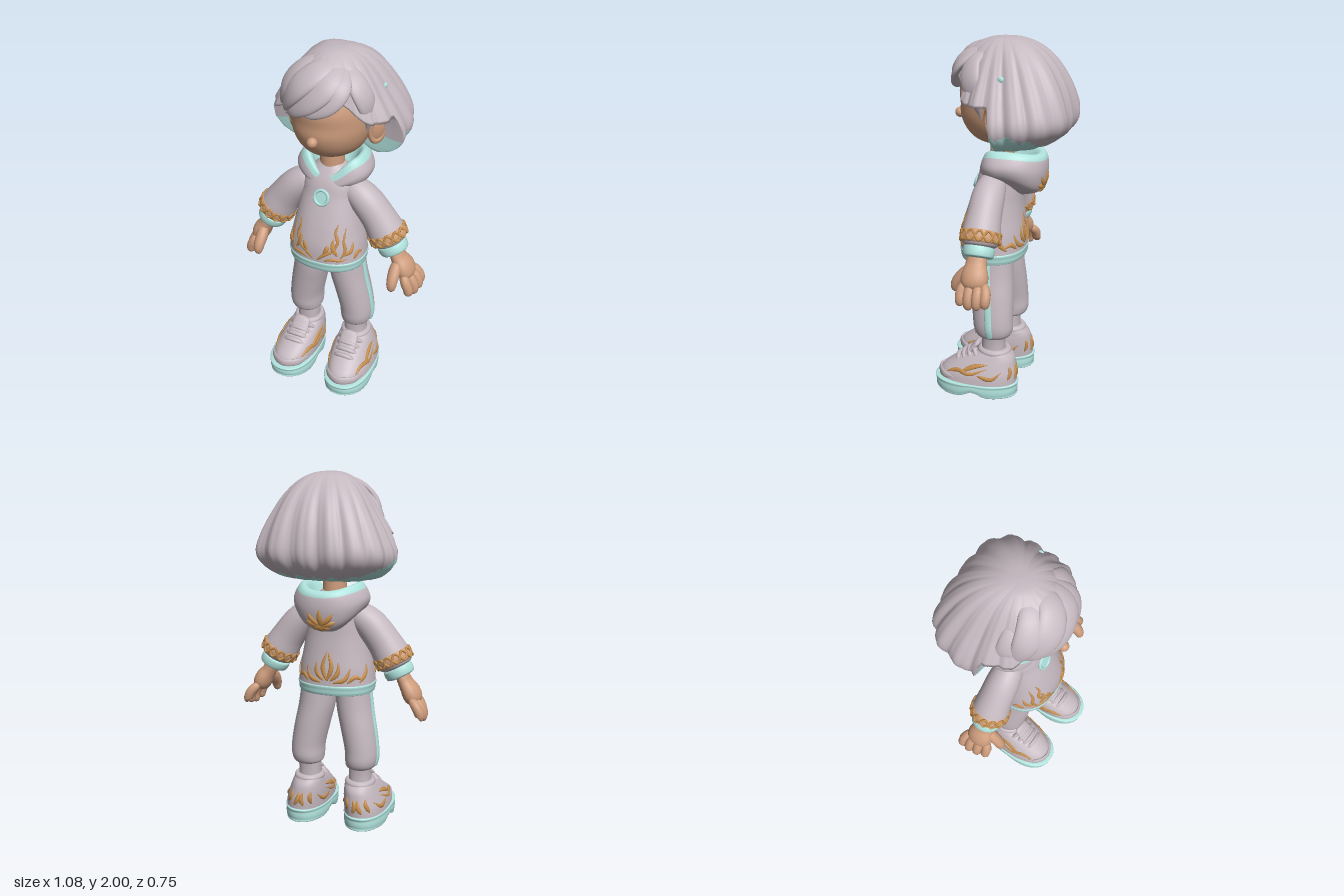
import * as THREE from 'three';

const mat = (name, color) => Object.assign(new THREE.MeshStandardMaterial({ color }), { name });
const lilac = mat('lilac grey', 0xc5b9c0), aqua = mat('pale aqua', 0xb0e2dd), skin = mat('skin', 0xcd9c7c),
  gold = mat('gold thread', 0xc8904e), salmon = mat('salmon band', 0xd0a07c);

const { clamp, lerp, smoothstep } = THREE.MathUtils;
const V = (a) => new THREE.Vector3(...a);
const TAU = Math.PI * 2;
const pow = (s, p) => Math.sign(s) * Math.abs(s) ** p;

// smooth interpolation through rows of numbers
function blend(rows, t) {
  const n = rows.length - 1, x = clamp(t, 0, 1) * n, i = Math.min(Math.floor(x), n - 1), f = x - i;
  return rows[0].map((_, k) => {
    const [a, b, c, d] = [i - 1, i, i + 1, i + 2].map((j) => rows[clamp(j, 0, n)][k]);
    return b + 0.5 * f * (c - a + f * (2 * a - 5 * b + 4 * c - d + f * (3 * (b - c) + d - a)));
  });
}

// surface closed around u, open along v; pick chooses the material of each cell
function surface(name, fn, nu, nv, mats, pick) {
  const pos = [], lists = [[], []];
  for (let j = 0; j <= nv; j++) for (let i = 0; i < nu; i++) pos.push(...fn(i / nu, j / nv));
  for (let j = 0; j < nv; j++) for (let i = 0; i < nu; i++) {
    const a = j * nu + i, b = j * nu + (i + 1) % nu;
    lists[pick ? pick((i + 0.5) / nu, (j + 0.5) / nv) : 0].push(a, a + nu, b, b, a + nu, b + nu);
  }
  const g = new THREE.BufferGeometry();
  g.setAttribute('position', new THREE.Float32BufferAttribute(pos, 3));
  g.setIndex([...lists[0], ...lists[1]]);
  if (pick) {
    g.addGroup(0, lists[0].length, 0);
    g.addGroup(lists[0].length, lists[1].length, 1);
  }
  g.computeVertexNormals();
  return part(name, g, mats);
}

function part(name, geometry, material) {
  const m = new THREE.Mesh(geometry, material);
  m.name = name;
  return m;
}

// stacked rounded sections, top to bottom: [y, cx, cz, rx, rz]
const stackFn = (rows, p = 0.9) => (u, v) => {
  const [y, cx, cz, rx, rz] = blend(rows, v);
  return [cx + Math.max(0, rx) * pow(Math.sin(u * TAU), p), y, cz + Math.max(0, rz) * pow(Math.cos(u * TAU), p)];
};

// tapered lock, limb or cord along a curve; flattened along the outward direction
function sweep(name, pts, radii, material, { flat = 1, ref, center, nu = 14, nv = 18, cap = 8 } = {}) {
  const curve = new THREE.CatmullRomCurve3(pts.map(V)), rows = radii.map((r) => [r]);
  return surface(name, (u, w) => {
    const v = (1 - Math.cos(w * Math.PI)) / 2;
    const p = curve.getPoint(v), T = curve.getTangent(v);
    const N = ref ? V(ref) : p.clone().sub(V(center));
    N.addScaledVector(T, -N.dot(T)).normalize();
    const B = T.clone().cross(N);
    const r = Math.max(0, blend(rows, v)[0]) * Math.sqrt(Math.max(0, 1 - Math.abs(2 * v - 1) ** cap));
    return p.addScaledVector(B, r * Math.cos(u * TAU)).addScaledVector(N, r * flat * Math.sin(u * TAU)).toArray();
  }, nu, nv, material);
}

// embroidered leaf or vine lying on a surface function
function vine(name, fn, uv, r) {
  const c = V(fn(...uv[0])).add(V(fn(uv[0][0] + 0.5, uv[0][1]))).multiplyScalar(0.5).toArray();
  return sweep(name, uv.map((q) => fn(...q)), [r * 0.5, r, r * 0.8, r * 0.2], gold, { flat: 0.55, center: c, nu: 8, nv: 12 });
}

function mirrored(m) {
  const g = m.geometry.clone().scale(-1, 1, 1), ix = g.index.array;
  for (let i = 0; i < ix.length; i += 3) [ix[i], ix[i + 2]] = [ix[i + 2], ix[i]];
  return part(m.name.replace('left', 'right'), g, m.material);
}

export function createModel() {
  const group = new THREE.Group();
  group.name = 'child figure';
  const add = (...ms) => group.add(...ms);
  const both = (...ms) => ms.forEach((m) => group.add(m, mirrored(m)));

  // head, nose, ears, neck
  add(surface('head', (u, v) => {
    const c = Math.cos(v * Math.PI), s = Math.sin(v * Math.PI) ** 0.65, y = 1.66 + 0.23 * c, f = Math.cos(u * TAU);
    const dent = f > 0 ? 0.01 * f * Math.exp(-(((y - 1.65) / 0.04) ** 2)) : 0;
    return [0.215 * s * Math.sin(u * TAU), y, 0.02 + (f > 0 ? 0.242 : 0.21) * s * f - dent];
  }, 48, 32, skin));
  add(part('nose', new THREE.SphereGeometry(0.028, 20, 14).translate(0, 1.58, 0.268), skin));
  add(part('neck', new THREE.CylinderGeometry(0.062, 0.07, 0.2, 28).translate(0, 1.38, 0.03), skin));
  both(part('left ear', new THREE.SphereGeometry(1, 20, 16).scale(0.026, 0.08, 0.052).rotateY(-0.7).rotateZ(-0.12)
    .translate(0.237, 1.592, 0.008), skin),
    part('left ear rim', new THREE.TorusGeometry(0.046, 0.012, 10, 28).rotateY(Math.PI / 2).scale(1, 1.5, 0.95)
      .rotateY(-0.7).rotateZ(-0.12).translate(0.247, 1.595, 0.016), skin));

  // bob hair: rows of [y, side radius, back radius, front radius]
  const hairRows = [[2.0, 0, 0, 0], [1.99, 0.075, 0.095, 0.08], [1.95, 0.145, 0.185, 0.165], [1.88, 0.205, 0.262, 0.235],
    [1.79, 0.262, 0.318, 0.262], [1.69, 0.322, 0.355, 0.268], [1.59, 0.366, 0.37, 0.26], [1.52, 0.358, 0.345, 0.25],
    [1.465, 0.31, 0.275, 0.22], [1.44, 0.24, 0.195, 0.2]];
  const hairAt = (a, t) => {
    const c = Math.cos(a), s = Math.sin(a), [y, side, back, front] = blend(hairRows, t), b = a - 0.12 * t;
    const strands = Math.abs(Math.sin(9 * b + 0.5 * Math.sin(3 * b + 1))) - 0.65 + 0.2 * (Math.abs(Math.sin(23 * b)) - 0.6);
    const square = 1 + Math.sin(2 * a) ** 2 * (c < 0 ? 0.17 - 0.13 * smoothstep(t, 0.6, 0.95) : -0.07);
    const r = Math.max(0, side * s * s + (c < 0 ? back : front) * c * c) * (1 + 0.055 * Math.min(1, t * 2.2) * strands) * square;
    return [r * s + 0.015 * (1 - t), y, r * c + 0.01];
  };
  const degrees = (u) => Math.abs(((u + 0.5) % 1) - 0.5) * 360;
  const rim = (u) => {
    const d = degrees(u);
    return lerp(lerp(0.43, 0.57, smoothstep(d, 25, 65)), 1, smoothstep(d, 90, 98));
  };
  const hairFn = (u, v) => {
    const T = rim(u), a = u * TAU;
    if (v <= 0.8) return hairAt(a, (v / 0.8) * T);
    const s = (v - 0.8) / 0.2, [x, y, z] = hairAt(a, T);
    return [x * (1 - 0.6 * s), y + 0.11 * s * s, z * (1 - 0.6 * s)];
  };
  add(surface('hair', hairFn, 288, 50, [lilac, aqua], (u, v) => {
    const d = degrees(u), spikes = 0.025 * Math.abs(((d / 9) % 2) - 1);
    const limit = v > 0.8 ? 1.53 + spikes : 1.525 - 0.07 * smoothstep(d, 105, 150) + spikes;
    return hairFn(u, v)[1] < limit ? 1 : 0;
  }));
  // swept fringe and side locks
  const locks = [
    [[[0.02, 1.975, 0.02], [-0.09, 1.93, 0.13], [-0.175, 1.84, 0.165], [-0.22, 1.74, 0.14], [-0.24, 1.66, 0.08]], 0.06],
    [[[0.05, 1.975, 0.04], [0.0, 1.93, 0.18], [-0.09, 1.85, 0.23], [-0.165, 1.75, 0.21], [-0.21, 1.67, 0.16]], 0.068],
    [[[0.08, 1.965, 0.07], [0.07, 1.89, 0.215], [-0.01, 1.81, 0.257], [-0.1, 1.74, 0.25], [-0.17, 1.69, 0.22]], 0.065],
    [[[0.1, 1.95, 0.09], [0.125, 1.87, 0.21], [0.08, 1.805, 0.25], [0.0, 1.75, 0.267], [-0.07, 1.715, 0.265]], 0.055],
    [[[0.08, 1.96, 0.05], [0.175, 1.88, 0.13], [0.225, 1.79, 0.13], [0.235, 1.7, 0.1], [0.215, 1.59, 0.075]], 0.055],
    [[[-0.12, 1.93, 0.06], [-0.21, 1.82, 0.09], [-0.24, 1.74, 0.09], [-0.235, 1.68, 0.08], [-0.215, 1.59, 0.075]], 0.048]];
  locks.forEach(([pts, w], i) => add(sweep('hair lock ' + (i + 1), pts, [w * 0.5, w, w * 1.1, w * 0.75, w * 0.1], lilac,
    { flat: 0.4, center: [0, 1.62, 0], nu: 20, nv: 28 })));
  add(part('hair pin', new THREE.SphereGeometry(0.017, 14, 10).scale(0.6, 1, 1).translate(...hairAt(1.78, 0.42)), aqua));

  // hoodie body and hem
  const torso = stackFn([[1.38, 0, 0.03, 0.05, 0.05], [1.29, 0, 0.035, 0.14, 0.105], [1.2, 0, 0.045, 0.155, 0.125],
    [1.11, 0, 0.06, 0.17, 0.143], [1.02, 0, 0.07, 0.188, 0.162], [0.93, 0, 0.075, 0.207, 0.178], [0.84, 0, 0.075, 0.218, 0.182]], 0.88);
  add(surface('hoodie body', torso, 56, 36, lilac));
  add(surface('hoodie hem', stackFn([[0.855, 0, 0.075, 0.19, 0.16], [0.843, 0, 0.075, 0.22, 0.184], [0.82, 0, 0.075, 0.218, 0.182],
    [0.795, 0, 0.075, 0.214, 0.178], [0.788, 0, 0.075, 0.19, 0.155], [0.8, 0, 0.075, 0, 0]], 0.88), 56, 20, aqua));
  // hood lying on the shoulders
  const hood = (u, v) => {
    const c = Math.cos(u * TAU), f = Math.max(0, c) ** 4, b = Math.max(0, -c) ** 2;
    const [rx, zf, zb, y] = blend([[0.09, 0.09, 0.09, 1.3], [0.125, 0.1, 0.16, 1.395 - 0.09 * f - 0.02 * b],
      [0.155, 0.12, 0.195, 1.415 - 0.1 * f - 0.03 * b], [0.185, 0.135, 0.22, 1.385 - 0.1 * f - 0.03 * b],
      [0.208, 0.14, 0.222, 1.33 - 0.07 * f - 0.06 * b], [0.19, 0.13, 0.19, 1.28 - 0.02 * f - 0.1 * b],
      [0.15, 0.1, 0.1, 1.25 - 0.1 * b]], v);
    return [rx * pow(Math.sin(u * TAU), 0.9), y, (c > 0 ? zf : zb) * pow(c, 0.9)];
  };
  add(surface('hood', hood, 64, 36, [lilac, aqua], (u, v) => (v < 0.5 ? 1 : 0)));
  // chest badge
  const badge = (g) => g.rotateX(-0.32).translate(0, 1.205, 0.17);
  add(part('badge ring', badge(new THREE.TorusGeometry(0.04, 0.009, 10, 36)), aqua),
    part('badge disc', badge(new THREE.CylinderGeometry(0.03, 0.03, 0.009, 28).rotateX(Math.PI / 2)), aqua));

  // gold embroidery on the hoodie, points as [turn, height]
  const sew = (pts, r) => [1, -1].forEach((s) => add(vine('hoodie embroidery', torso,
    pts.map(([u, y]) => [s * u, (1.38 - y) / 0.54]), r)));
  [[[0.005, 0.865], [0.03, 0.9], [0.065, 0.925], [0.09, 0.96]], [[0.03, 0.865], [0.06, 0.88], [0.1, 0.875], [0.14, 0.88]],
    [[0.075, 0.93], [0.095, 0.98], [0.085, 1.03], [0.1, 1.08]], [[0.1, 0.88], [0.13, 0.93], [0.125, 0.98], [0.145, 1.06]],
    [[0.03, 0.9], [0.045, 0.94], [0.05, 0.96]], [[0.12, 0.9], [0.16, 0.92], [0.18, 0.97]],
    [[0.09, 0.9], [0.07, 0.95], [0.075, 1.0]], [[0.17, 0.87], [0.2, 0.9], [0.23, 0.89]],
    [[0.5, 0.88], [0.485, 0.95], [0.499, 1.04]], [[0.49, 0.88], [0.46, 0.92], [0.455, 0.98]],
    [[0.48, 0.87], [0.43, 0.89], [0.4, 0.95]], [[0.42, 0.87], [0.38, 0.9], [0.34, 0.88]],
    [[0.36, 0.87], [0.32, 0.91], [0.3, 0.97]]].forEach((p, i) => sew(p, i > 3 ? 0.013 : 0.01));
  [[0, 0.88], [0.035, 0.84], [0.06, 0.76], [0.05, 0.67], [0.0, 0.62]].forEach(([du, v]) => [1, -1].forEach((s) =>
    add(vine('hood embroidery', hood, [[0.5, 0.78], [0.5 + s * du * 0.6, (v + 0.78) / 2], [0.5 + s * du, v]], 0.015))));

  // sleeves with trim and cuffs
  both(sweep('left sleeve', [[0.09, 1.255, 0.04], [0.195, 1.185, 0.045], [0.28, 1.085, 0.045], [0.338, 0.99, 0.045], [0.362, 0.945, 0.045]],
    [0.07, 0.088, 0.094, 0.104, 0.088], lilac, { ref: [0, 0, 1], nu: 32, nv: 32, cap: 14 }));
  both(sweep('left sleeve band', [[0.315, 1.035, 0.045], [0.335, 0.998, 0.045], [0.354, 0.96, 0.045]], [0.101, 0.107, 0.1], salmon,
    { ref: [0, 0, 1], nu: 32, nv: 12, cap: 10 }));
  both(sweep('left cuff', [[0.353, 0.955, 0.045], [0.37, 0.925, 0.045], [0.384, 0.898, 0.045]], [0.082, 0.084, 0.079], aqua,
    { ref: [0, 0, 1], nu: 32, nv: 14, cap: 12 }));
  [0, Math.PI].forEach((phase) => {
    const pts = [];
    for (let i = 0; i < 56; i++) {
      const q = (i / 56) * TAU, h = 0.026 * Math.sin(7 * q + phase), r = 0.105;
      pts.push(V([0.335 + r * 0.89 * Math.cos(q) + h * 0.45, 0.998 + r * 0.45 * Math.cos(q) - h * 0.89, 0.045 + r * Math.sin(q)]));
    }
    both(part('left sleeve braid', new THREE.TubeGeometry(new THREE.CatmullRomCurve3(pts, true), 112, 0.007, 6, true), gold));
  });

  // hands
  both(sweep('left palm', [[0.375, 0.94, 0.045], [0.405, 0.87, 0.048], [0.438, 0.82, 0.045], [0.468, 0.75, 0.04]],
    [0.055, 0.058, 0.073, 0.074], skin, { flat: 0.7, ref: [0.9, 0.4, 0], nu: 24, nv: 20, cap: 6 }));
  [[0.108, 0.67, 0.49], [0.06, 0.655, 0.505], [0.012, 0.665, 0.512], [-0.032, 0.695, 0.508]].forEach(([z, tip, x]) =>
    both(sweep('left finger', [[0.45, 0.79, 0.04 + (z - 0.04) * 0.7], [x - 0.015, 0.745, z], [x + 0.003, 0.7, z], [x - 0.003, tip, z]],
      [0.026, 0.028, 0.027, 0.024], skin, { ref: [1, 0.2, 0], nu: 12, nv: 14, cap: 6 })));
  both(sweep('left thumb', [[0.412, 0.86, 0.07], [0.41, 0.805, 0.12], [0.412, 0.76, 0.155], [0.412, 0.71, 0.165]],
    [0.032, 0.034, 0.03, 0.023], skin, { ref: [1, 0, 0], nu: 12, nv: 14, cap: 6 }));

  // trousers with side stripes
  const leg = stackFn([[0.82, 0.1, 0.06, 0.1, 0.12], [0.7, 0.113, 0.055, 0.102, 0.12], [0.58, 0.138, 0.045, 0.1, 0.118],
    [0.46, 0.16, 0.037, 0.095, 0.114], [0.39, 0.162, 0.033, 0.092, 0.11], [0.35, 0.157, 0.033, 0.078, 0.088], [0.335, 0.155, 0.033, 0.03, 0.03]], 0.95);
  add(surface('trouser seat', stackFn([[0.84, 0, 0.06, 0.195, 0.125], [0.8, 0, 0.06, 0.19, 0.12], [0.78, 0, 0.06, 0.12, 0.09],
    [0.775, 0, 0.06, 0, 0]]), 40, 14, lilac));
  both(surface('left trouser leg', leg, 36, 36, lilac));
  both(surface('left sock', stackFn([[0.36, 0.155, 0.033, 0.066, 0.068], [0.3, 0.153, 0.035, 0.064, 0.066], [0.22, 0.155, 0.035, 0.066, 0.068]]), 28, 8, lilac));
  both(sweep('left stripe', [0.02, 0.2, 0.4, 0.6, 0.78].map((v) => leg(0.25, v)), [0.02, 0.02], aqua,
    { flat: 0.45, ref: [1, 0, 0], nv: 30, cap: 30 }));

  // shoes: chunky sole with raised arch, then the upper
  const sole = stackFn([[0.08, 0.18, 0.13, 0, 0], [0.085, 0.18, 0.13, 0.122, 0.225], [0.06, 0.18, 0.13, 0.133, 0.24],
    [0.02, 0.18, 0.13, 0.133, 0.238], [0, 0.18, 0.13, 0.115, 0.215], [0, 0.18, 0.13, 0, 0]], 0.88);
  both(surface('left sole', (u, v) => {
    const [x, y, z] = sole(u, v), low = 1 - clamp(y / 0.085, 0, 1);
    return [0.18 + (x - 0.18) * (0.98 + 0.3 * (z - 0.1)),
      Math.max(0, y + low * (0.035 * Math.exp(-(((z - 0.12) / 0.05) ** 2)) + 0.015 * smoothstep(z, 0.26, 0.37))), z];
  }, 56, 30, aqua));
  const upper = stackFn([[0.26, 0.155, 0.03, 0, 0], [0.265, 0.155, 0.03, 0.07, 0.08], [0.25, 0.156, 0.032, 0.085, 0.1],
    [0.22, 0.16, 0.06, 0.097, 0.148], [0.18, 0.166, 0.088, 0.11, 0.185], [0.13, 0.175, 0.115, 0.121, 0.22], [0.075, 0.18, 0.125, 0.125, 0.23]], 0.9);
  both(surface('left shoe upper', upper, 48, 30, lilac));
  both(part('left shoe collar', new THREE.TorusGeometry(0.068, 0.02, 12, 32).rotateX(Math.PI / 2).scale(1, 1, 1.1)
    .translate(0.155, 0.256, 0.03), lilac));
  both(sweep('left tongue', [[0.163, 0.19, 0.22], [0.158, 0.25, 0.155], [0.155, 0.3, 0.115]], [0.055, 0.055, 0.05], lilac,
    { flat: 0.35, ref: [0, 0.6, 0.8] }));
  for (let i = 0; i < 4; i++) {
    const z = 0.235 - i * 0.032, y = 0.197 + i * 0.022, x = 0.164 - i * 0.002;
    both(sweep('left lace', [[x - 0.075, y - 0.035, z - 0.025], [x - 0.03, y + 0.004, z], [x + 0.03, y + 0.004, z], [x + 0.075, y - 0.035, z - 0.025]],
      [0.014, 0.014], lilac, { ref: [0, 0.6, 0.8], nu: 10 }));
  }
  both(sweep('left toe guard', [-0.17, -0.1, 0, 0.1, 0.17].map((u) => upper(u, 0.9)), [0.012, 0.024, 0.026, 0.024, 0.012], lilac,
    { flat: 0.4, center: [0.18, 0.1, 0.1], nv: 24 }));
  [[[0.12, 0.84], [0.17, 0.76], [0.23, 0.8], [0.29, 0.66]], [[0.19, 0.78], [0.23, 0.64], [0.28, 0.58]],
    [[0.26, 0.8], [0.32, 0.85], [0.37, 0.72]], [[0.41, 0.88], [0.43, 0.75], [0.42, 0.62]],
    [[0.47, 0.9], [0.49, 0.78], [0.485, 0.64]]].forEach((p) => [1, -1].forEach((s) =>
    both(vine('left shoe embroidery', upper, p.map(([u, v]) => [s * u, v]), 0.014))));
  return group;
}
